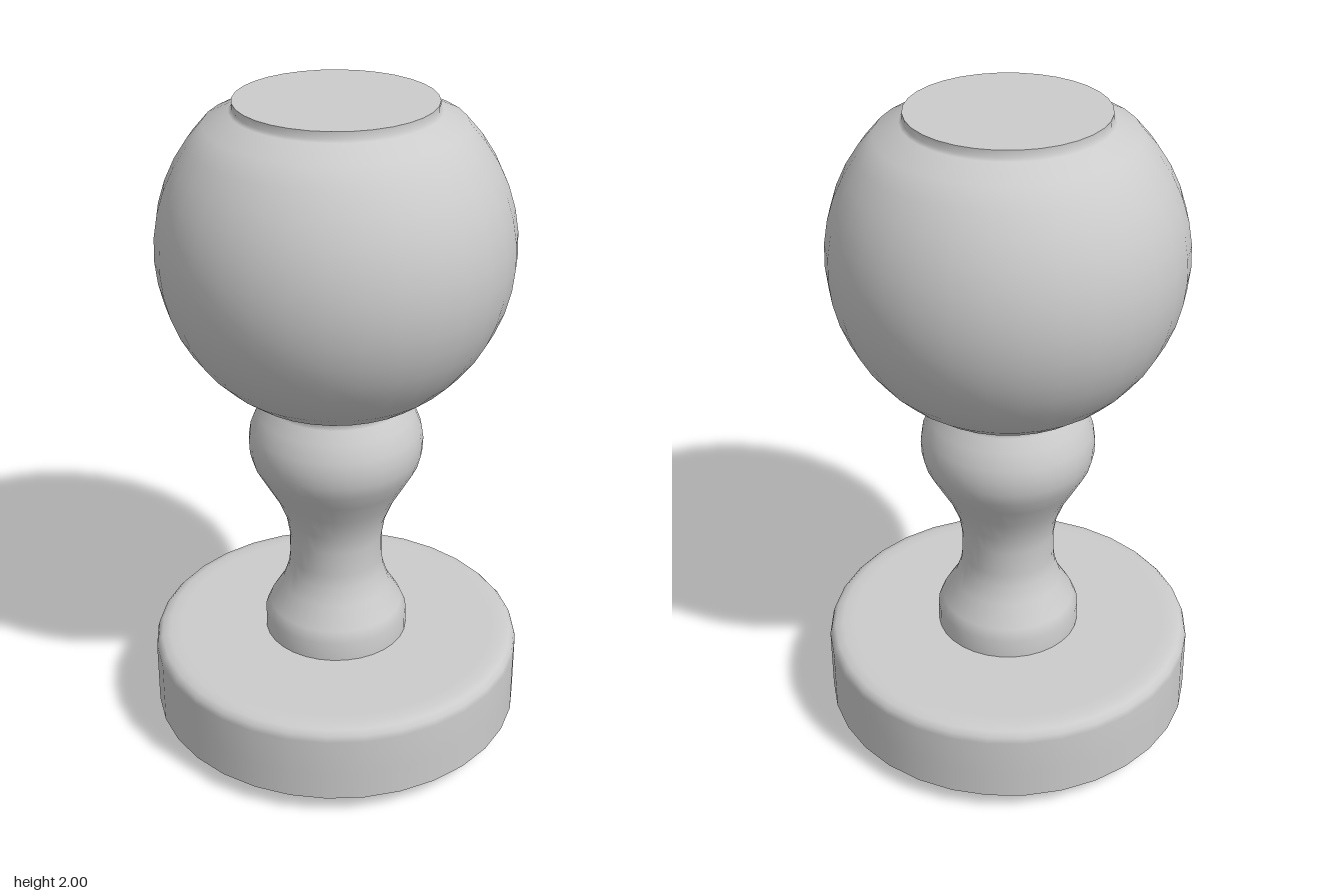
import * as THREE from 'three';

const SEGMENTS = 32;
const material = new THREE.MeshStandardMaterial({ color: 0xcccccc });

function addMesh(group, name, geometry) {
  const mesh = new THREE.Mesh(geometry, material);
  mesh.name = name;
  group.add(mesh);
  return mesh;
}

// Turned part; the profile runs from bottom to top as [radius, y]
function turned(profile) {
  return new THREE.LatheGeometry(profile.map(([r, y]) => new THREE.Vector2(r, y)), SEGMENTS);
}

// Flat disc facing up (or down)
function disc(radius, y, up = true) {
  const side = up ? -1 : 1;
  return new THREE.CircleGeometry(radius, SEGMENTS, Math.PI / 2)
    .rotateX(side * Math.PI / 2).translate(0, y, 0);
}

export function createModel() {
  const group = new THREE.Group();

  // Triangular key under the base, one corner pointing back
  const R = 0.41;
  const triangle = new THREE.Shape([0, 1, 2].map((i) => {
    const a = Math.PI / 2 + i * Math.PI * 2 / 3;
    return new THREE.Vector2(R * Math.cos(a), R * Math.sin(a));
  }));
  const key = new THREE.ExtrudeGeometry(triangle, { depth: 0.07, bevelEnabled: false });
  addMesh(group, 'triangularKey', key.rotateX(-Math.PI / 2));

  // Round base with softened upper rim
  addMesh(group, 'base', turned([
    [0.568, 0.06], [0.568, 0.15], [0.568, 0.265], [0.563, 0.283],
    [0.55, 0.297], [0.525, 0.304], [0.49, 0.305], [0.31, 0.305], [0, 0.305],
  ]));
  addMesh(group, 'baseUnderside', disc(0.568, 0.06, false));

  // Waisted stem swelling into a collar below the ball
  addMesh(group, 'stem', turned([
    [0.22, 0.3], [0.22, 0.365], [0.205, 0.4], [0.165, 0.465], [0.147, 0.52],
    [0.142, 0.56], [0.142, 0.64], [0.152, 0.7], [0.18, 0.77], [0.22, 0.84],
    [0.248, 0.89], [0.259, 0.93], [0.261, 0.97], [0.255, 1.01], [0.235, 1.06],
    [0.21, 1.095], [0.205, 1.11], [0.215, 1.122], [0.28, 1.15],
  ]));

  // Ball, cut at both ends, with a short lip at the top
  const ball = [];
  const radius = 0.512, centreY = 1.578, steps = 13;
  const start = -Math.acos(0.28 / radius), end = Math.acos(0.365 / radius);
  for (let i = 0; i <= steps; i++) {
    const a = start + (end - start) * i / steps;
    ball.push([radius * Math.cos(a), centreY + radius * Math.sin(a)]);
  }
  ball.push([0.293, 1.972], [0.284, 1.98], [0.284, 2]);
  addMesh(group, 'ball', turned(ball));
  addMesh(group, 'topFace', disc(0.284, 2));

  return group;
}
